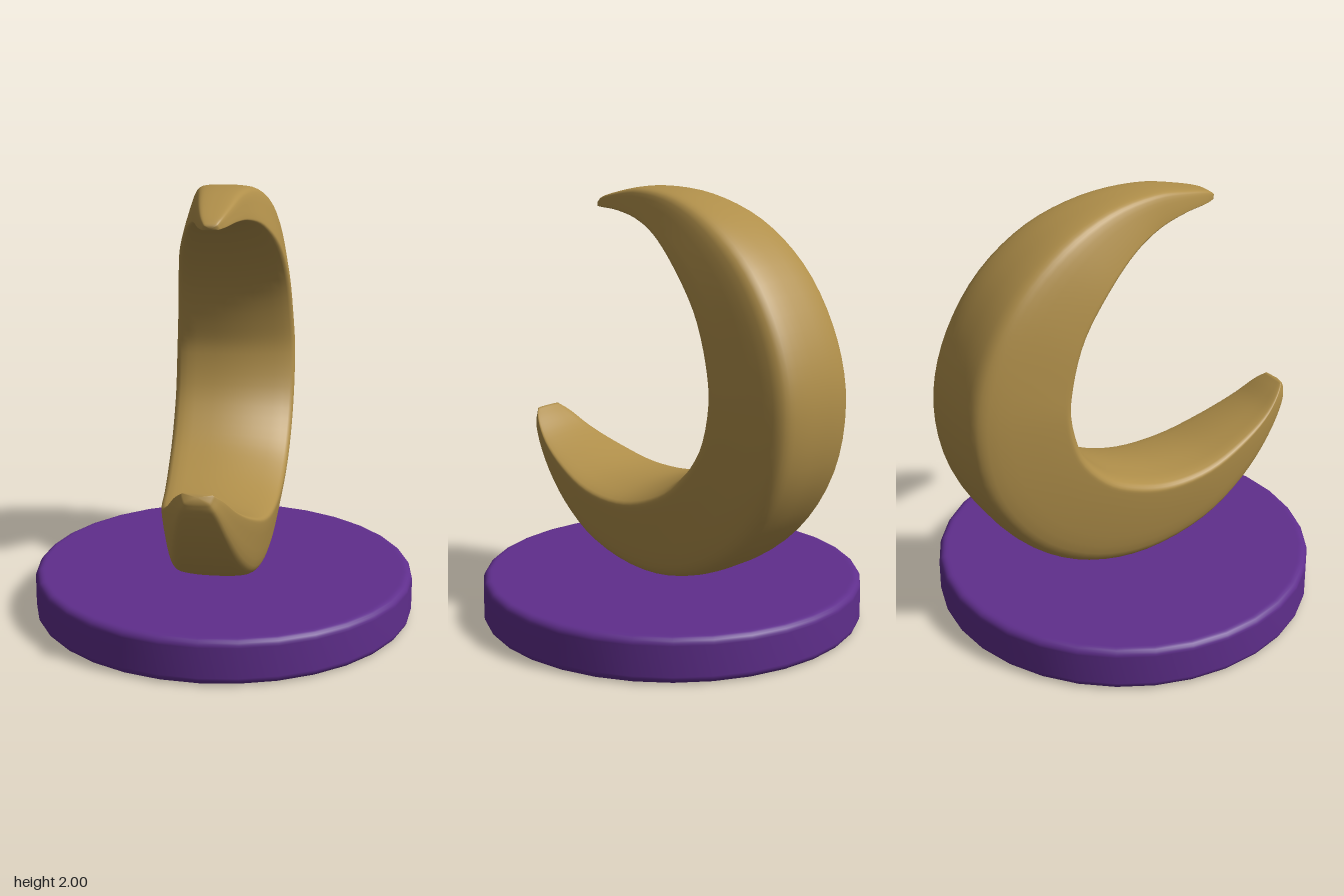
import * as THREE from 'three';

const gold = new THREE.MeshStandardMaterial({ color: 0xb08f4a });
gold.name = 'gold';
const purple = new THREE.MeshStandardMaterial({ color: 0x5f2e8c });
purple.name = 'purple';

// Stations from the upper tip round the back to the lower tip:
// outer z, outer y, inner z, inner y, half width
const stations = [
  [0.46, 1.905, 0.45, 1.88, 0.035],
  [0.42, 1.93, 0.40, 1.878, 0.06],
  [0.30, 1.966, 0.27, 1.873, 0.095],
  [0.12, 2.0, 0.12, 1.845, 0.13],
  [-0.15, 1.985, -0.03, 1.785, 0.18],
  [-0.42, 1.89, -0.20, 1.65, 0.235],
  [-0.66, 1.70, -0.34, 1.46, 0.265],
  [-0.83, 1.42, -0.405, 1.25, 0.28],
  [-0.89, 1.13, -0.415, 1.13, 0.287],
  [-0.83, 0.79, -0.36, 0.93, 0.287],
  [-0.62, 0.48, -0.22, 0.77, 0.283],
  [-0.33, 0.29, -0.06, 0.685, 0.275],
  [0.0, 0.225, 0.12, 0.635, 0.262],
  [0.35, 0.29, 0.34, 0.635, 0.24],
  [0.60, 0.435, 0.55, 0.69, 0.20],
  [0.78, 0.62, 0.72, 0.76, 0.15],
  [0.875, 0.77, 0.82, 0.83, 0.10],
  [0.888, 0.82, 0.862, 0.86, 0.065],
];

// Cross-section: sideways fraction of the half width, depth from outer (0) to inner (1)
const section = [
  [0, 0], [0.45, 0.015], [0.68, 0.06], [0.79, 0.16], [0.91, 0.5], [0.98, 0.76],
  [0.98, 0.82], [0.92, 0.86], [0.5, 0.94], [0, 0.99], [-0.5, 1.0], [-0.9, 0.98],
  [-0.99, 0.93], [-0.99, 0.87], [-0.91, 0.5], [-0.79, 0.16], [-0.68, 0.06], [-0.45, 0.015],
];

// Lofts the section along the stations and closes both tips
function crescentGeometry(rings = 72, sides = 54) {
  const outer = new THREE.CatmullRomCurve3(stations.map(s => new THREE.Vector3(s[4], s[1], s[0])));
  const inner = new THREE.CatmullRomCurve3(stations.map(s => new THREE.Vector3(s[4], s[3], s[2])));
  const loop = new THREE.CatmullRomCurve3(section.map(p => new THREE.Vector3(p[0], p[1], 0)), true);
  const pos = [], index = [];
  for (let r = 0; r <= rings; r++) {
    const o = outer.getPoint(r / rings), n = inner.getPoint(r / rings);
    for (let i = 0; i < sides; i++) {
      const p = loop.getPoint(i / sides);
      pos.push(p.x * o.x, o.y + (n.y - o.y) * p.y, o.z + (n.z - o.z) * p.y);
      if (r === rings) continue;
      const a = r * sides + i, b = r * sides + (i + 1) % sides;
      index.push(a, b, a + sides, b, b + sides, a + sides);
    }
  }
  for (const r of [0, rings]) {
    const o = outer.getPoint(r / rings), n = inner.getPoint(r / rings);
    const centre = pos.length / 3;
    // the tip is pushed out slightly so it ends rounded
    pos.push(0, (o.y + n.y) / 2 + (r ? 0.008 : -0.003), (o.z + n.z) / 2 + 0.008);
    for (let i = 0; i < sides; i++) {
      const a = r * sides + i, b = r * sides + (i + 1) % sides;
      if (r) index.push(centre, a, b);
      else index.push(centre, b, a);
    }
  }
  const g = new THREE.BufferGeometry();
  g.setAttribute('position', new THREE.Float32BufferAttribute(pos, 3));
  g.setIndex(index);
  g.computeVertexNormals();
  return g;
}

// Round plinth with softened rims
function baseGeometry(radius = 0.885, height = 0.21, bevel = 0.035) {
  const profile = [new THREE.Vector2(0, 0), new THREE.Vector2(radius - bevel - 0.01, 0)];
  const corner = (cy, start) => {
    for (let i = 0; i <= 5; i++) {
      const a = start + (i / 5) * Math.PI / 2;
      profile.push(new THREE.Vector2(radius - bevel + Math.cos(a) * bevel, cy + Math.sin(a) * bevel));
    }
  };
  corner(bevel, -Math.PI / 2);
  corner(height - bevel, 0);
  profile.push(new THREE.Vector2(radius - bevel - 0.01, height), new THREE.Vector2(0, height));
  return new THREE.LatheGeometry(profile, 32);
}

export function createModel() {
  const model = new THREE.Group();
  const base = new THREE.Mesh(baseGeometry(), purple);
  base.name = 'base';
  const crescent = new THREE.Mesh(crescentGeometry(), gold);
  crescent.name = 'crescentMoon';
  model.add(base, crescent);
  return model;
}
